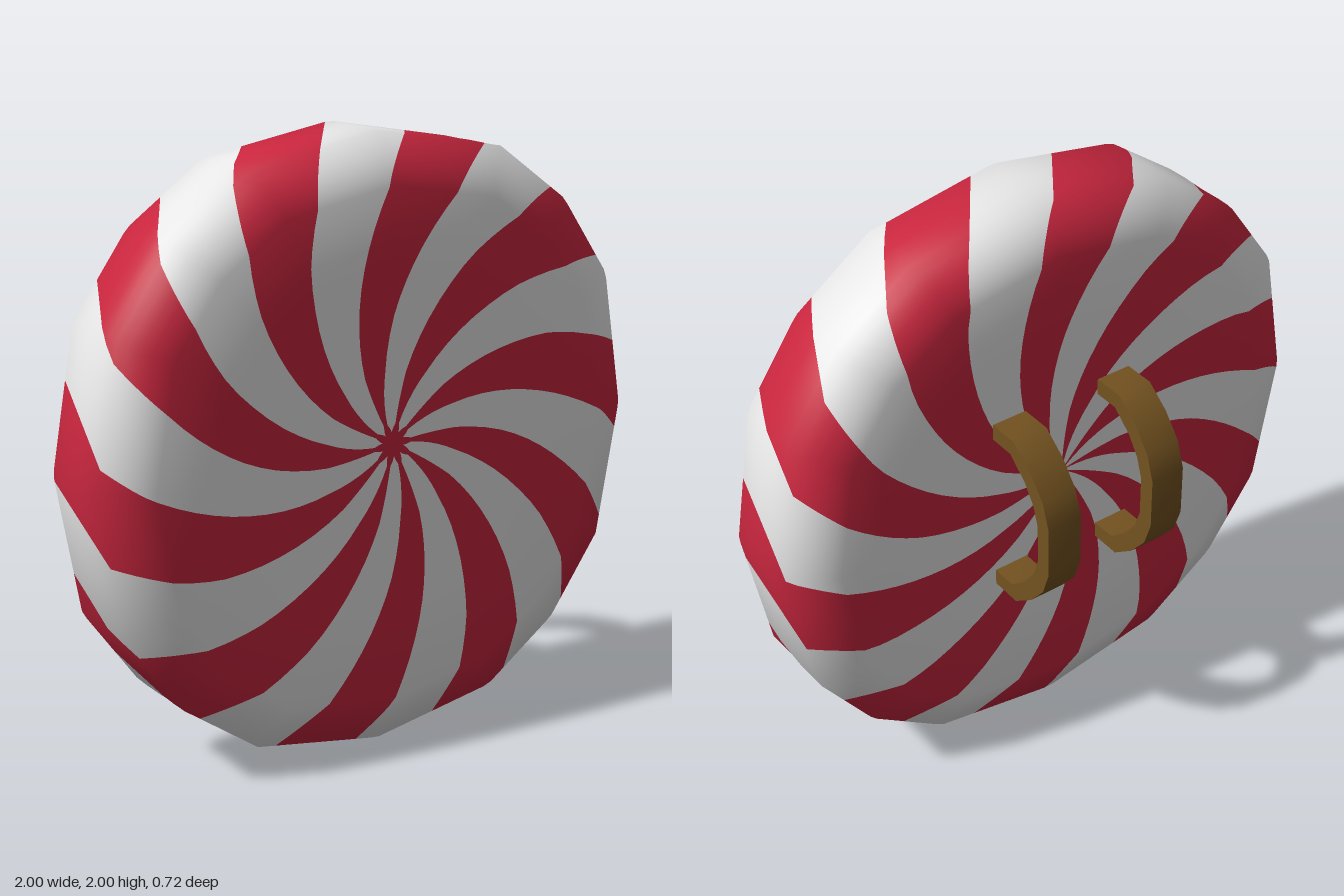
import * as THREE from 'three';
import { toCreasedNormals } from 'three/addons/utils/BufferGeometryUtils.js';

const RAD = Math.PI / 180;
const red = new THREE.MeshStandardMaterial({ color: 0xc8263e });
const white = new THREE.MeshStandardMaterial({ color: 0xe6e6e6 });
const brown = new THREE.MeshStandardMaterial({ color: 0x735220 });
red.name = 'candy red';
white.name = 'candy white';
brown.name = 'strap brown';

// Sixteen-sided outline: one quarter, repeated
const outline = [];
for (let q = 0; q < 4; q++) {
  for (const [deg, r] of [[0, 1], [26.6, 1.028], [45, 1.03], [63.4, 1.028]]) {
    const a = (deg + q * 90) * RAD;
    outline.push({ a, x: r * Math.cos(a), y: r * Math.sin(a) });
  }
}

// Distance from the middle to the outline in one direction
function outlineRadius(angle) {
  const full = Math.PI * 2;
  const t = ((angle % full) + full) % full;
  let i = 15;
  while (outline[i].a > t) i--;
  const a = outline[i], b = outline[(i + 1) % 16];
  return (a.x * b.y - a.y * b.x) /
    (Math.cos(t) * (b.y - a.y) - Math.sin(t) * (b.x - a.x));
}

// Cross-section from front middle over the rim to back middle:
// radius, z, tilt of normal, share of red, rim turn
const keys = [
  [0, 0.36, 0, 1, 0], [0.04, 0.36, 0, 1, 0], [0.07, 0.36, 0, 0.3, 0],
  [0.25, 0.36, 0, 0.48, 0], [0.55, 0.36, 0, 0.5, 0], [0.84, 0.36, 12, 0.5, 0],
  [1, 0.285, 60, 0.5, 0], [1, 0, 120, 0.5, -12], [0.84, -0.07, 168, 0.5, -12],
  [0.55, -0.07, 180, 0.5, -12], [0.25, -0.07, 180, 0.48, -12],
  [0.06, -0.07, 180, 0.3, -12], [0, -0.07, 180, 0.3, -12],
];
const rows = [];
const STEPS = 5;
keys.forEach((k, i) => {
  if (i === keys.length - 1) return;
  for (let s = 0; s < STEPS; s++) {
    const row = k.map((v, n) => v + (keys[i + 1][n] - v) * s / STEPS);
    row.push(i < 6 ? 1 : -1); // front or back half
    rows.push(row);
  }
});
rows.push([...keys[keys.length - 1], -1]);

// All ten swirling bands of one colour
function swirlGeometry(isRed) {
  const COLS = 10, pos = [], nor = [], idx = [];
  for (let band = 0; band < 10; band++) {
    const first = pos.length / 3;
    for (const [r, z, tilt, share, turn, side] of rows) {
      const mid = 76 + band * 36 + (isRed ? 0 : 18) + turn + side * 40 * (1 - r);
      const width = 36 * (isRed ? share : 1 - share);
      for (let c = 0; c <= COLS; c++) {
        const a = (mid + width * (c / COLS - 0.5)) * RAD;
        const d = r * outlineRadius(a);
        pos.push(d * Math.cos(a), 1 + d * Math.sin(a) + 0.028 * (1 - r) ** 2, z);
        const n = Math.sin(tilt * RAD);
        nor.push(n * Math.cos(a), n * Math.sin(a), Math.cos(tilt * RAD));
      }
    }
    for (let i = 0; i < rows.length - 1; i++) {
      for (let c = 0; c < COLS; c++) {
        const a = first + i * (COLS + 1) + c, b = a + COLS + 1;
        idx.push(a, b, b + 1, a, b + 1, a + 1);
      }
    }
  }
  const g = new THREE.BufferGeometry();
  g.setAttribute('position', new THREE.Float32BufferAttribute(pos, 3));
  g.setAttribute('normal', new THREE.Float32BufferAttribute(nor, 3));
  g.setIndex(idx);
  return g;
}

// Curved strap: side outline (depth behind the disc, height) extruded to its width
function strapGeometry() {
  const outer = [[0.06, 0.325], [0.18, 0.325], [0.265, 0.26], [0.33, 0.18], [0.36, 0.09]];
  const inner = [[0.06, 0.268], [0.16, 0.268], [0.235, 0.205], [0.28, 0.14], [0.303, 0.07]];
  const mirror = (pts) => pts.map(([d, h]) => [d, -h]);
  const loop = [...outer, ...mirror(outer).reverse(), ...mirror(inner), ...[...inner].reverse()];
  const shape = new THREE.Shape(loop.map(([d, h]) => new THREE.Vector2(d, h)));
  const g = new THREE.ExtrudeGeometry(shape, { depth: 0.125, bevelEnabled: false });
  g.translate(0, 0, -0.0625);
  g.rotateY(Math.PI / 2);
  return toCreasedNormals(g, 0.8);
}

export function createModel() {
  const model = new THREE.Group();
  model.name = 'swirlShield';

  // Striped disc
  const disc = new THREE.Group();
  disc.name = 'disc';
  for (const [name, isRed, material] of [['redSwirls', true, red], ['whiteSwirls', false, white]]) {
    const mesh = new THREE.Mesh(swirlGeometry(isRed), material);
    mesh.name = name;
    disc.add(mesh);
  }
  model.add(disc);

  // Two arm straps on the back
  const strap = strapGeometry();
  for (const [name, x] of [['leftStrap', 0.205], ['rightStrap', -0.205]]) {
    const mesh = new THREE.Mesh(strap, brown);
    mesh.name = name;
    mesh.position.set(x, 1.005, 0);
    model.add(mesh);
  }
  return model;
}
